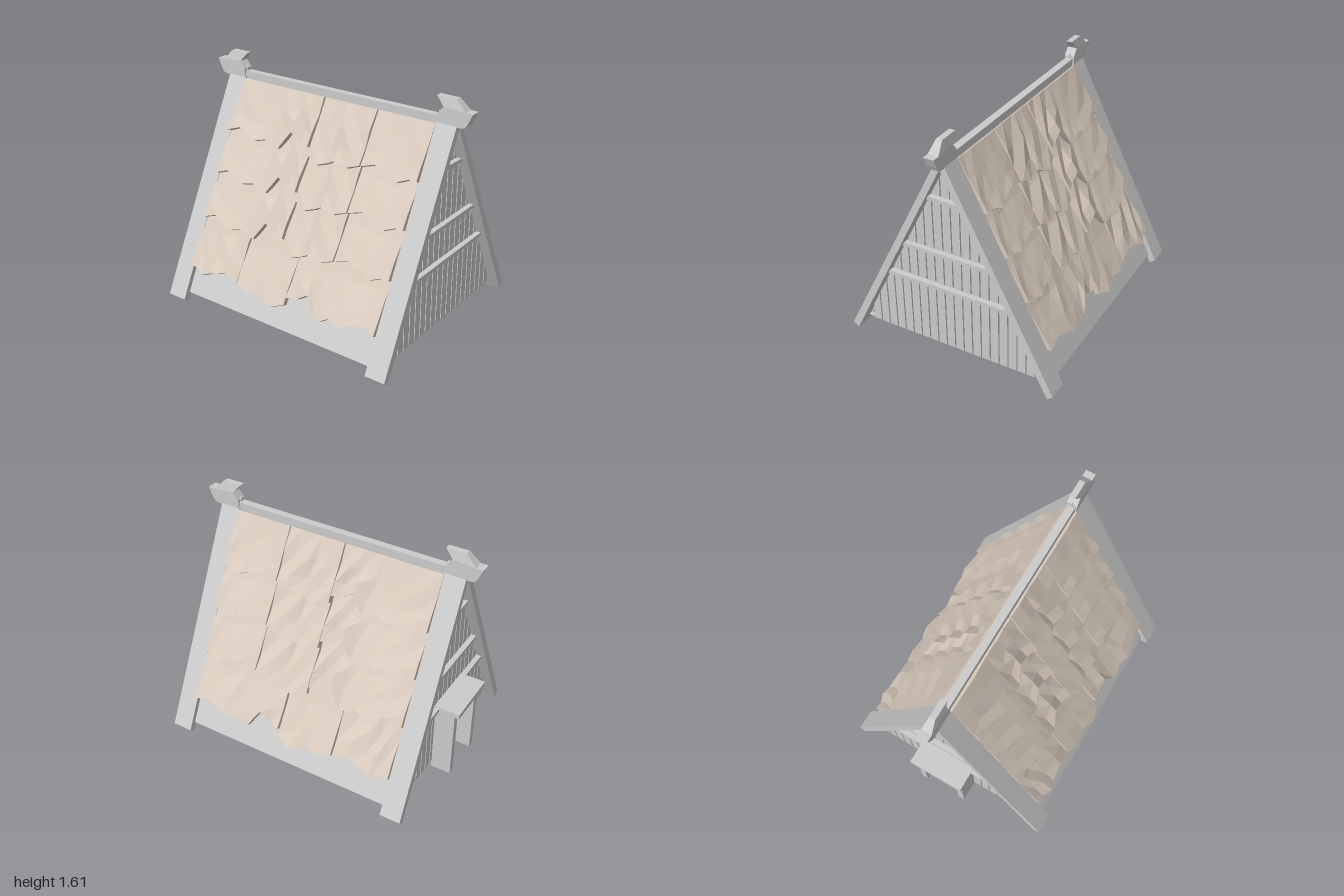
import * as THREE from 'three';

const SLOPE = 1.98; // rise of the roof per unit of depth
const grey = new THREE.MeshStandardMaterial({ color: 0xcccccc, flatShading: true, side: THREE.DoubleSide });
const tan = new THREE.MeshStandardMaterial({ color: 0xd8cabd, flatShading: true, side: THREE.DoubleSide });

function add(parent, name, geometry, material = grey) {
  const mesh = new THREE.Mesh(geometry, material);
  mesh.name = name;
  parent.add(mesh);
  return mesh;
}

function box(parent, name, w, h, d, x, y, z) {
  const mesh = add(parent, name, new THREE.BoxGeometry(w, h, d));
  mesh.position.set(x, y, z);
  return mesh;
}

const shapeOf = (points) => new THREE.Shape(points.map(([a, b]) => new THREE.Vector2(a, b)));

// Extrude a (z, y) outline along x, from x0 to x1
function alongX(points, x0, x1) {
  return new THREE.ExtrudeGeometry(shapeOf(points), { depth: x1 - x0, bevelEnabled: false })
    .rotateY(-Math.PI / 2).translate(x1, 0, 0);
}

// Inverted V outline from its right half, apex given at the top and inside
function vShape(outerY, outer, inner, innerY) {
  return [[0, outerY], outer, inner, [0, innerY], [-inner[0], inner[1]], [-outer[0], outer[1]]];
}

// Slate courses: three slabs each, columns are [x, edge height, edge lift]
const slabs = [
  [[-0.755, 0, 0], [-0.66, 0.03, 0.005], [-0.5, -0.02, 0.018], [-0.42, 0, 0.005], [-0.36, -0.03, 0],
    [-0.31, -0.03, -0.006], [-0.23, 0.08, 0.012], [-0.15, 0.04, -0.012], [-0.075, 0.025, 0.008]],
  [[-0.065, -0.02, -0.006], [0.03, -0.06, 0.008], [0.1, -0.035, 0], [0.14, -0.015, -0.008],
    [0.25, -0.03, 0.004], [0.337, 0, 0]],
  [[0.345, 0, -0.004], [0.45, 0.03, 0.008], [0.57, -0.005, 0.004], [0.63, -0.03, 0.012],
    [0.7, 0, -0.004], [0.755, 0, 0]],
];

// One slab: cross-sections from the top down to a thick, ragged lower edge
function slabGeometry(columns, edgeY, topY, topLift, side, flip) {
  const pos = [];
  const index = [];
  const cols = flip ? columns.map(([x, e, l]) => [-x, e, l]).reverse() : columns;
  const put = (x, y, w) => pos.push(x, y + 0.45 * w, side * ((1.45 - y) / SLOPE + 0.893 * w));
  cols.forEach(([x, e, l], i) => {
    const y = edgeY + e - 0.025;
    const bump = 0.01 * Math.sin(i * 2.3 + x * 9);
    put(x, topY, topLift - 0.025);
    put(x, topY, topLift + l * 0.4);
    put(x, y + (topY - y) * 0.6, topLift + 0.012 + bump);
    put(x, y + (topY - y) * 0.25, 0.052 - bump + l * 0.5);
    put(x, y, 0.064 + l);
    put(x, y, 0.028 + l);
  });
  const tri = (a, b, c) => (side > 0 ? index.push(a, b, c) : index.push(a, c, b));
  for (let i = 0; i < cols.length - 1; i++) {
    for (let k = 0; k < 6; k++) {
      const a = i * 6 + k, b = i * 6 + (k + 1) % 6;
      tri(a, b, b + 6);
      tri(a, b + 6, a + 6);
    }
  }
  const last = (cols.length - 1) * 6;
  for (let k = 1; k < 5; k++) {
    tri(0, k + 1, k);
    tri(last, last + k, last + k + 1);
  }
  const g = new THREE.BufferGeometry();
  g.setAttribute('position', new THREE.Float32BufferAttribute(pos, 3));
  g.setIndex(index);
  g.computeVertexNormals();
  return g;
}

function slateRoof(side) {
  const roof = new THREE.Group();
  roof.name = side > 0 ? 'frontSlates' : 'backSlates';
  const edges = [0.26, 0.57, 0.85, 1.12];
  edges.forEach((edge, row) => {
    const top = row < 3 ? edges[row + 1] + 0.07 : 1.425;
    for (const slab of slabs) {
      add(roof, 'slate', slabGeometry(slab, edge, top, row < 3 ? 0.022 : 0.032, side, row === 0), tan);
    }
  });
  return roof;
}

// Plank wall with cross rails, set back between the rafters
function gable(s) {
  const wall = new THREE.Group();
  wall.name = s > 0 ? 'leftGable' : 'rightGable';
  const slab = (points, a, b) => alongX(points, Math.min(s * a, s * b), Math.max(s * a, s * b));
  const height = (z) => Math.max(0.066, 1.42 - SLOPE * Math.abs(z));
  const bottom = 0.065;
  add(wall, 'wallBacking', slab([[0.625, bottom], [0.625, height(0.625)], [0, 1.42], [-0.684, bottom]], 0.8, 0.81));
  const pitch = 0.0645;
  for (let i = 0; i < 20; i++) {
    const b = 0.625 - i * pitch;
    const a = Math.max(b - pitch + 0.009, -0.684);
    const points = [[a, bottom], [b, bottom], [b, height(b)]];
    if (a < 0 && b > 0) points.push([0, 1.42]);
    points.push([a, height(a)]);
    add(wall, 'plank', slab(points, 0.805, 0.825));
  }
  for (const [y, tilt] of [[0.53, 0], [0.785, 0], [1.175, 0.04]]) {
    const rail = box(wall, 'crossRail', 0.04, 0.025, 2 * (1.43 - y) / SLOPE, s * 0.84, y, 0);
    rail.rotation.x = -tilt;
  }
  return wall;
}

// Carved beak-like finial, thinner towards its crown
function finial(s) {
  const outline = [[0.76, 1.44], [0.93, 1.44], [0.955, 1.45], [0.97, 1.475], [1.0, 1.54], [0.95, 1.54],
    [0.88, 1.61], [0.745, 1.61], [0.8, 1.55], [0.76, 1.5]];
  const g = new THREE.ExtrudeGeometry(shapeOf(outline.map(([x, y]) => [s * x, y])), { depth: 2, bevelEnabled: false });
  const p = g.attributes.position;
  for (let i = 0; i < p.count; i++) {
    const half = 0.036 - 0.016 * THREE.MathUtils.smoothstep(p.getY(i), 1.53, 1.61);
    p.setZ(i, (p.getZ(i) - 1) * half);
  }
  g.computeVertexNormals();
  return g;
}

export function createModel() {
  const model = new THREE.Group();
  model.name = 'gabledHut';

  // Roof boards, ridge and floor
  add(model, 'roofBoards', alongX(vShape(1.45, [0.7, 0.065], [0.67, 0.065], 1.39), -0.8, 0.8));
  box(model, 'ridgeBeam', 1.52, 0.06, 0.05, 0, 1.455, 0);
  box(model, 'floor', 1.63, 0.01, 1.38, 0, 0.067, 0);

  // Slates on both slopes
  model.add(slateRoof(1), slateRoof(-1));

  // Rafters, gables and finials at both ends
  const rafter = vShape(1.515, [0.755, 0.03], [0.715, 0], 1.42);
  for (const s of [1, -1]) {
    add(model, 'rafterPair', alongX(rafter, s > 0 ? 0.755 : -0.897, s > 0 ? 0.897 : -0.755));
    model.add(gable(s));
    add(model, 'finial', finial(s));
  }

  // Door frame on the right end
  const frame = new THREE.Group();
  frame.name = 'doorFrame';
  for (const z of [0.152, -0.152]) box(frame, 'doorPost', 0.14, 0.505, 0.045, -0.892, 0.2625, z);
  box(frame, 'doorLintel', 0.18, 0.035, 0.39, -0.91, 0.532, 0);
  model.add(frame);
  return model;
}
